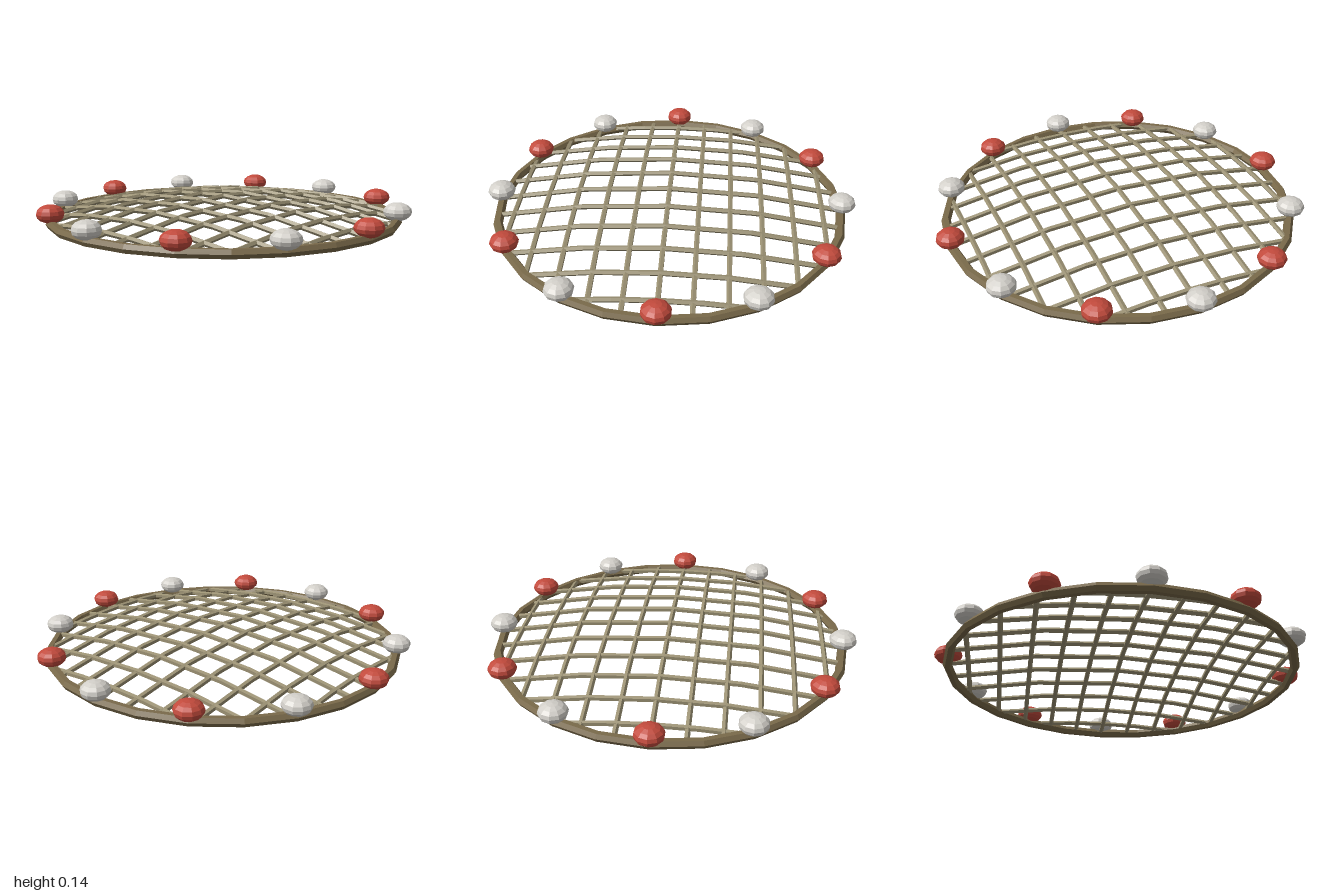
import * as THREE from 'three';

const RIM = 0.925;      // rim radius
const SPACING = 0.164;  // mesh spacing of the net

function material(name, color) {
  const m = new THREE.MeshStandardMaterial({ color });
  m.name = name;
  return m;
}

// Mesh with faceted normals
function faceted(name, geometry, mat) {
  const g = geometry.toNonIndexed();
  g.computeVertexNormals();
  const mesh = new THREE.Mesh(g, mat);
  mesh.name = name;
  return mesh;
}

// Height of the shallow dome at a distance from the centre
const domeHeight = (x, z) => 0.03 + 0.101 * (1 - (x * x + z * z) / (RIM * RIM));

export function createModel() {
  const model = new THREE.Group();
  model.name = 'castNet';
  const rope = material('brown rope', 0x7a6a4a);
  const twine = material('tan twine', 0x9c9274);
  const red = material('red float', 0xc24a3c);
  const white = material('white float', 0xd2cfc9);

  // Rim rope
  const rimGeometry = new THREE.TorusGeometry(RIM, 0.025, 6, 24).rotateX(-Math.PI / 2);
  const rim = faceted('rimRope', rimGeometry, rope);
  rim.position.y = 0.025;
  model.add(rim);

  // Domed net: strands along x and along z
  const net = new THREE.Group();
  net.name = 'net';
  for (let i = -5; i <= 5; i++) {
    const offset = i * SPACING;
    const half = Math.sqrt(RIM * RIM - offset * offset);
    for (const alongX of [true, false]) {
      const points = [-1, -0.5, 0, 0.5, 1].map((t) => {
        const x = alongX ? t * half : offset;
        const z = alongX ? offset : t * half;
        return new THREE.Vector3(x, domeHeight(x, z), z);
      });
      const curve = new THREE.CatmullRomCurve3(points);
      const tube = new THREE.TubeGeometry(curve, 4, 0.014, 5);
      net.add(faceted(alongX ? 'crossStrand' : 'lengthStrand', tube, twine));
    }
  }
  model.add(net);

  // Flattened floats, alternating red and white
  const floats = new THREE.Group();
  floats.name = 'floats';
  const floatGeometry = new THREE.SphereGeometry(0.074, 10, 8).scale(1, 0.65, 1);
  for (let i = 0; i < 12; i++) {
    const a = (i * Math.PI) / 6;
    const isRed = i % 2 === 0;
    const float = faceted(isRed ? 'redFloat' : 'whiteFloat', floatGeometry, isRed ? red : white);
    float.position.set(Math.cos(a) * RIM, 0.08, Math.sin(a) * RIM);
    floats.add(float);
  }
  model.add(floats);

  return model;
}
